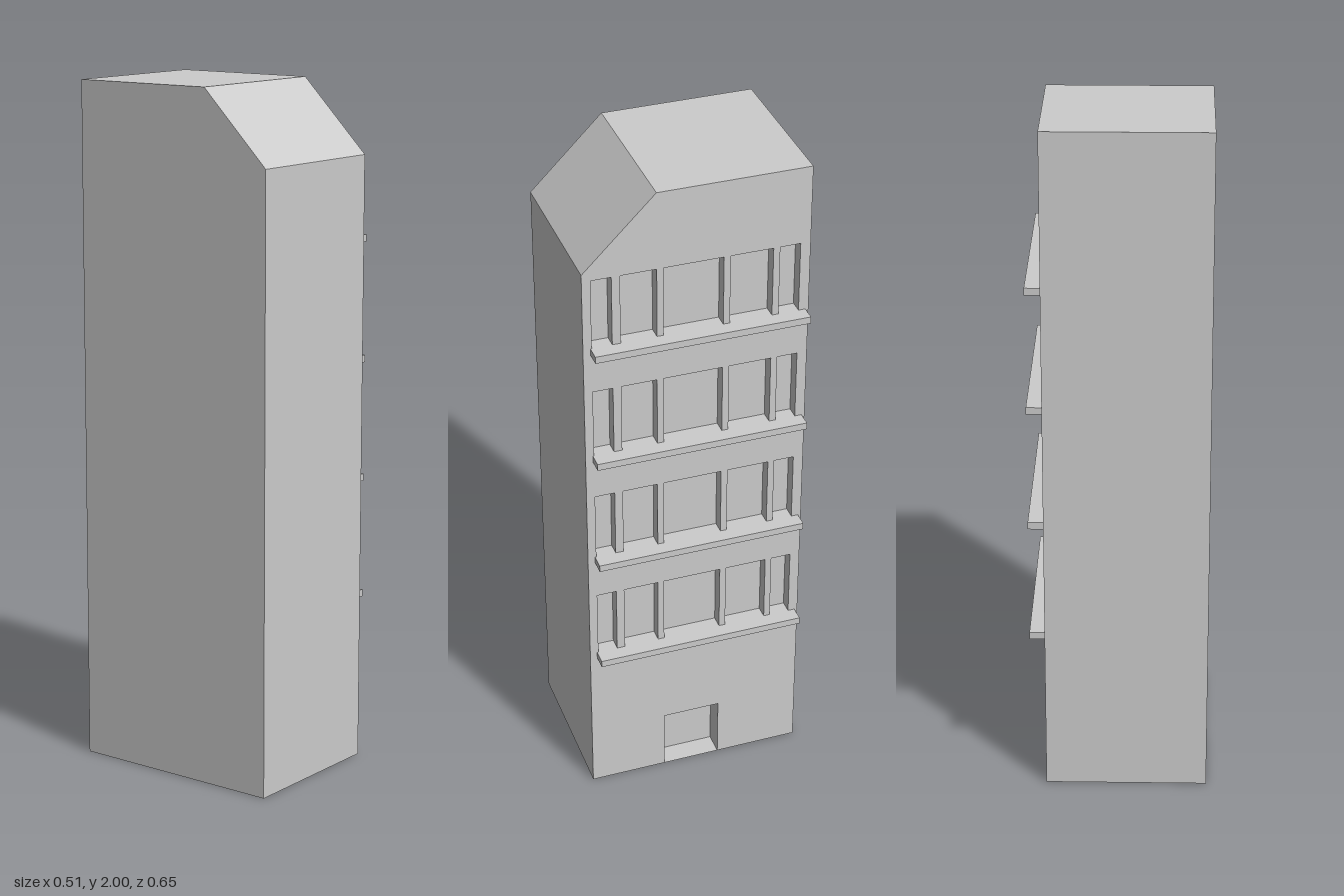
import * as THREE from 'three';

const XL = -0.258, XR = 0.213, ZF = 0.325, ZB = -0.325;
const EAVE = 1.79, TOP = 2, RIDGE = 0.115;
const mat = new THREE.MeshStandardMaterial({ color: 0xcccccc, side: THREE.DoubleSide, flatShading: true });

// window bays and door as [front z, back z]
const BAYS = [[0.30, 0.242], [0.218, 0.115], [0.096, -0.076], [-0.095, -0.218], [-0.237, -0.296]];
const DOOR = [0.096, -0.076], DOOR_TOP = 0.19, DOOR_DEPTH = 0.066, WINDOW_DEPTH = 0.038;
const LEDGES = [0.475, 0.828, 1.182, 1.535], LEDGE_H = 0.021, WINDOW_H = 0.212;

const points = (list) => list.map(([a, b]) => new THREE.Vector2(a, b));

function add(parent, name, geometry) {
  const mesh = new THREE.Mesh(geometry, mat);
  mesh.name = name;
  parent.add(mesh);
  return mesh;
}

// flat wall in the zy plane at a given x, drawn with u = -z
function sideWall(outline, holes, x) {
  const shape = new THREE.Shape(points(outline.map(([z, y]) => [-z, y])));
  for (const h of holes) shape.holes.push(new THREE.Path(points(h.map(([z, y]) => [-z, y]))));
  return new THREE.ShapeGeometry(shape).rotateY(Math.PI / 2).translate(x, 0, 0);
}

// box recess behind the right wall, open towards +x
function recess([z0, z1], y0, y1, depth) {
  const g = new THREE.BoxGeometry(depth, y1 - y0, z0 - z1);
  g.setIndex(Array.from(g.index.array).slice(6));
  return g.translate(XR - depth / 2, (y0 + y1) / 2, (z0 + z1) / 2);
}

// strip joining the two side walls along the profile
function skin(profile) {
  const pos = [];
  for (let i = 0; i < profile.length - 1; i++) {
    const [z0, y0] = profile[i], [z1, y1] = profile[i + 1];
    pos.push(XL, y0, z0, XR, y0, z0, XR, y1, z1, XL, y0, z0, XR, y1, z1, XL, y1, z1);
  }
  const g = new THREE.BufferGeometry();
  g.setAttribute('position', new THREE.Float32BufferAttribute(pos, 3));
  g.computeVertexNormals();
  return g;
}

export function createModel() {
  const group = new THREE.Group();
  group.name = 'building';

  // hollow shell
  const profile = [[ZF, 0], [ZF, EAVE], [RIDGE, TOP], [ZB, TOP], [ZB, 0]];
  add(group, 'frontRoofAndBack', skin(profile));
  add(group, 'leftPartyWall', sideWall(profile, [], XL));

  // window facade with a notch for the door
  const notch = [[DOOR[1], 0], [DOOR[1], DOOR_TOP], [DOOR[0], DOOR_TOP], [DOOR[0], 0]];
  const holes = [];
  for (const y of LEDGES) {
    const y0 = y + LEDGE_H, y1 = y0 + WINDOW_H;
    for (const [a, b] of BAYS) holes.push([[a, y0], [b, y0], [b, y1], [a, y1]]);
  }
  add(group, 'windowFacade', sideWall([...profile, ...notch], holes, XR));

  // recesses and ledges per floor
  LEDGES.forEach((y, i) => {
    const floor = new THREE.Group();
    floor.name = `floor${i + 1}`;
    group.add(floor);
    for (const bay of BAYS) {
      add(floor, 'windowRecess', recess(bay, y + LEDGE_H, y + LEDGE_H + WINDOW_H, WINDOW_DEPTH));
    }
    add(floor, 'ledge', new THREE.BoxGeometry(0.044, LEDGE_H, 0.62))
      .position.set(XR + 0.022, y + LEDGE_H / 2, -0.006);
  });
  add(group, 'doorRecess', recess(DOOR, 0, DOOR_TOP, DOOR_DEPTH));

  // base plate, open behind the door through to the far wall
  const xIn = XR - DOOR_DEPTH;
  const base = new THREE.Shape(points([
    [XL, ZB], [XR, ZB], [XR, ZF], [XL, ZF],
    [XL, DOOR[0]], [xIn, DOOR[0]], [xIn, DOOR[1]], [XL, DOOR[1]],
  ]));
  add(group, 'basePlate', new THREE.ShapeGeometry(base).rotateX(Math.PI / 2));
  return group;
}
